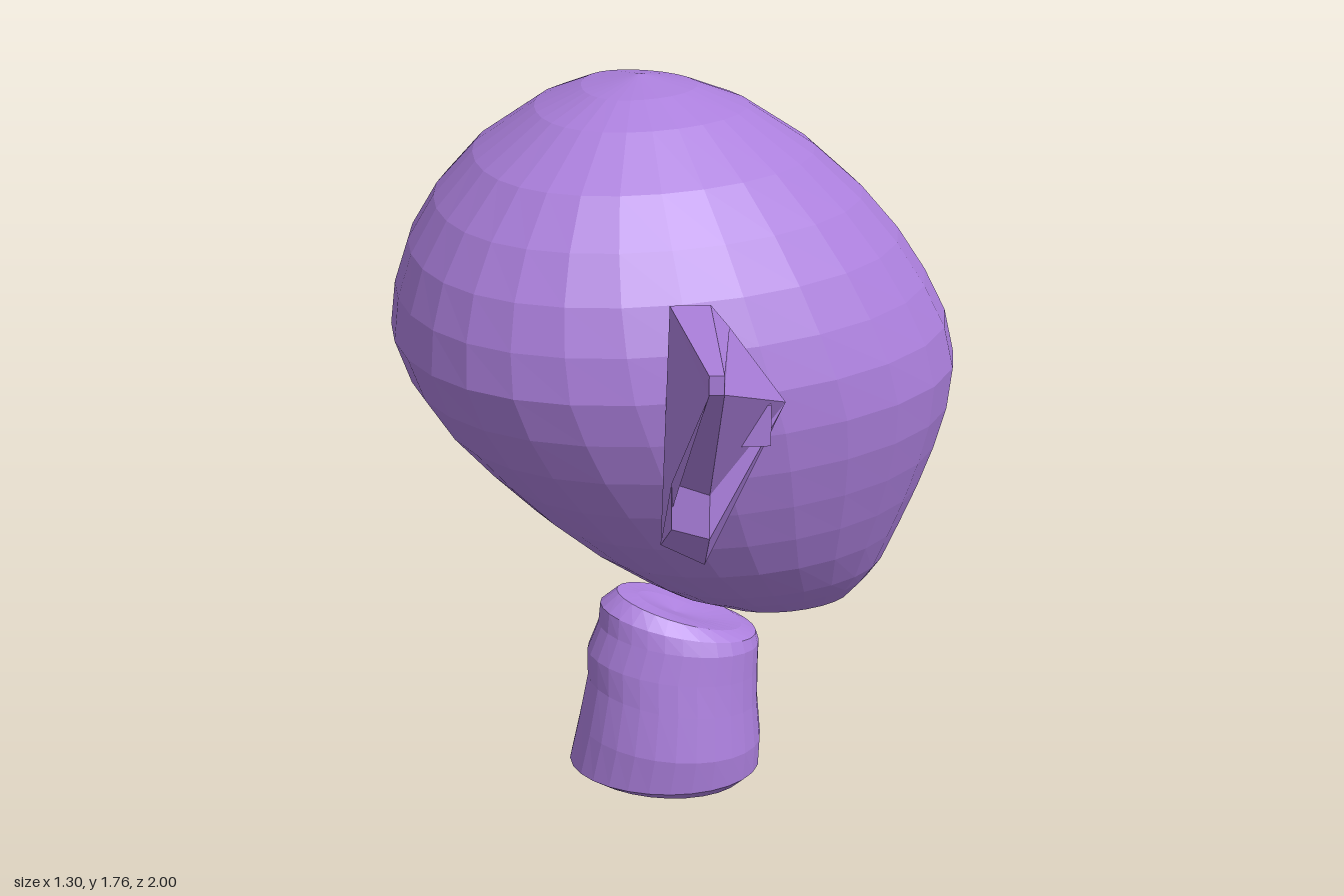
import * as THREE from 'three';

const skin = new THREE.MeshStandardMaterial({ color: 0xab7fdc, flatShading: true, side: THREE.DoubleSide });

// Skins a stack of oval rings, bottom to top.
// Each ring: [backX, backY, frontX, frontY, halfDepth]; skew moves the widest point backwards.
function loft(rings, sides, skew) {
  const pos = [], idx = [];
  rings.forEach(([xb, yb, xf, yf, w], r) => {
    for (let i = 0; i < sides; i++) {
      const a = (i / sides) * Math.PI * 2, c = Math.cos(a), s = Math.sin(a);
      const t = (1 + c) / 2;
      pos.push(xb + (xf - xb) * t - skew * w * s * s, yb + (yf - yb) * t, w * s);
      if (r < rings.length - 1) {
        const p = r * sides + i, n = r * sides + (i + 1) % sides;
        idx.push(p, p + sides, n + sides, p, n + sides, n);
      }
    }
  });
  const g = new THREE.BufferGeometry();
  g.setAttribute('position', new THREE.Float32BufferAttribute(pos, 3));
  g.setIndex(idx);
  g.computeVertexNormals();
  return g;
}

function mesh(name, geometry) {
  const m = new THREE.Mesh(geometry, skin);
  m.name = name;
  return m;
}

// Pointed ear; side is +1 or -1 along z
function makeEar(side) {
  const P = {
    a: [-0.055, 1.42, 0.575], t: [0.03, 1.42, 0.575], b: [0.07, 1.37, 0.575],
    c: [0.19, 1.2, 0.575], d: [0.02, 0.83, 0.575], e: [-0.075, 0.88, 0.575],
    p: [-0.01, 1.42, 1], q: [0.02, 1.42, 1], r: [0.02, 1.38, 1], s: [-0.01, 1.38, 1],
    m: [0.02, 1.04, 0.69], n: [0.02, 0.94, 0.69], u: [-0.06, 1.07, 0.69], v: [-0.06, 0.965, 0.69],
  };
  // top, front, outer edge, back and base, each a fan of corners
  const faces = ['apqt', 'tqb', 'bqrc', 'crmnd', 'psrq', 'sumr', 'uvnm', 'vedn', 'evusa', 'asp', 'atbcde'];
  const pos = [];
  for (const f of faces) {
    for (let i = 1; i < f.length - 1; i++) {
      const tri = [f[0], f[i], f[i + 1]];
      if (side < 0) tri.reverse();
      for (const k of tri) pos.push(P[k][0], P[k][1], P[k][2] * side);
    }
  }
  const g = new THREE.BufferGeometry();
  g.setAttribute('position', new THREE.Float32BufferAttribute(pos, 3));
  g.computeVertexNormals();
  const ear = new THREE.Group();
  ear.name = side > 0 ? 'earFront' : 'earBack';
  ear.add(mesh('earShell', g));
  // small ridge inside the ear
  const ridge = mesh('earRidge', new THREE.BoxGeometry(0.065, 0.09, 0.07));
  ridge.position.set(0.115, 1.19, 0.65 * side);
  ear.add(ridge);
  return ear;
}

export function createModel() {
  const model = new THREE.Group();
  model.name = 'earedHead';

  // Egg-shaped head: [y, backX, frontX, halfDepth]
  const slices = [
    [0.465, 0.3, 0.3, 0], [0.475, 0.2, 0.36, 0.07], [0.5, 0.08, 0.42, 0.13], [0.55, -0.04, 0.462, 0.2],
    [0.6, -0.115, 0.495, 0.26], [0.7, -0.245, 0.535, 0.36], [0.8, -0.36, 0.575, 0.43],
    [0.9, -0.46, 0.61, 0.485], [1.0, -0.55, 0.637, 0.53], [1.1, -0.615, 0.648, 0.56],
    [1.2, -0.65, 0.625, 0.575], [1.3, -0.638, 0.575, 0.56], [1.4, -0.605, 0.51, 0.525],
    [1.5, -0.545, 0.425, 0.465], [1.6, -0.455, 0.315, 0.38], [1.7, -0.315, 0.165, 0.24],
    [1.745, -0.21, 0.05, 0.14], [1.77, -0.08, -0.08, 0],
  ];
  model.add(mesh('head', loft(slices.map(([y, b, f, w]) => [b, y, f, y, w]), 28, 0.2)));

  // Neck with a slanted, slightly dished top and an uneven underside
  model.add(mesh('neck', loft([
    [0, 0.04, 0, 0.04, 0], [-0.1, 0.055, 0.08, 0.006, 0.1], [-0.23, 0.048, 0.17, 0.018, 0.165],
    [-0.258, 0.065, 0.205, 0.05, 0.192], [-0.235, 0.17, 0.208, 0.12, 0.197],
    [-0.212, 0.29, 0.2, 0.22, 0.175], [-0.212, 0.36, 0.2, 0.3, 0.16],
    [-0.185, 0.43, 0.202, 0.37, 0.145], [-0.18, 0.48, 0.195, 0.395, 0.13],
    [-0.14, 0.513, 0.16, 0.415, 0.1], [-0.09, 0.5, 0.08, 0.43, 0.05], [0, 0.45, 0, 0.45, 0],
  ], 28, 0)));

  model.add(makeEar(1), makeEar(-1));
  return model;
}
